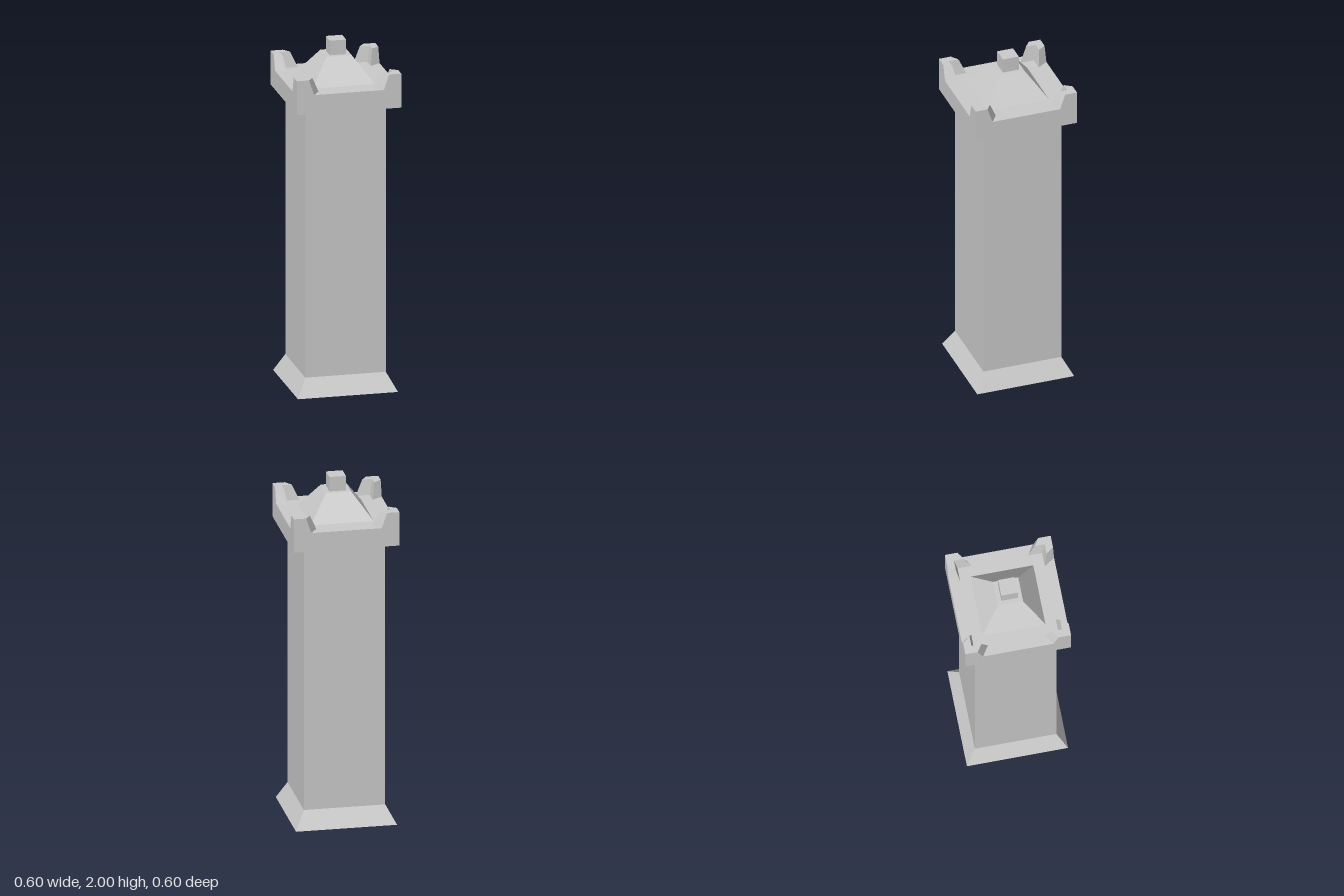
import * as THREE from 'three';

const material = new THREE.MeshStandardMaterial({ color: 0xcccccc, flatShading: true, side: THREE.DoubleSide });

function addMesh(parent, name, geometry, y = 0) {
  const mesh = new THREE.Mesh(geometry, material);
  mesh.name = name;
  mesh.position.y = y;
  parent.add(mesh);
  return mesh;
}

// Square frustum between two heights, given half widths
function squareFrustum(bottom, top, y0, y1, open) {
  const geometry = new THREE.CylinderGeometry(top * Math.SQRT2, bottom * Math.SQRT2, y1 - y0, 4, 1, open);
  return geometry.rotateY(Math.PI / 4).translate(0, (y0 + y1) / 2, 0);
}

// L-shaped corner battlement: bottom outline extruded up, then drawn in to the top outline
function cornerBattlement(y0, y1) {
  const bottom = [[0.3, 0.2], [0.3, 0.3], [0.2, 0.3], [0.16, 0.24], [0.24, 0.24], [0.24, 0.16]];
  const top = [[0.3, 0.23], [0.3, 0.3], [0.23, 0.3], [0.2, 0.257], [0.257, 0.257], [0.257, 0.2]];
  const shape = new THREE.Shape(bottom.map(([x, z]) => new THREE.Vector2(x, z)));
  const geometry = new THREE.ExtrudeGeometry(shape, { depth: y1 - y0, bevelEnabled: false });
  geometry.rotateX(Math.PI / 2).translate(0, y1, 0);
  const p = geometry.attributes.position;
  for (let i = 0; i < p.count; i++) {
    if (p.getY(i) < y1 - 0.01) continue;
    const k = bottom.findIndex(([x, z]) => Math.hypot(p.getX(i) - x, p.getZ(i) - z) < 0.005);
    p.setXYZ(i, top[k][0], y1, top[k][1]);
  }
  geometry.computeVertexNormals();
  return geometry;
}

export function createModel() {
  const model = new THREE.Group();
  model.name = 'tower';

  // Hollow shaft on a flared foot, open underneath
  const shaft = new THREE.Group();
  shaft.name = 'shaft';
  shaft.position.set(-0.002, 0, -0.002);
  addMesh(shaft, 'flaredFoot', squareFrustum(0.287, 0.231, 0, 0.105, true));
  addMesh(shaft, 'shaftWalls', squareFrustum(0.231, 0.231, 0.105, 1.66, true));
  model.add(shaft);

  // Overhanging platform with a battlement on each corner
  addMesh(model, 'platform', new THREE.BoxGeometry(0.6, 0.11, 0.6), 1.715);
  const battlement = cornerBattlement(1.77, 1.858);
  for (let i = 0; i < 4; i++) {
    addMesh(model, 'cornerBattlement', battlement).rotation.y = i * Math.PI / 2;
  }

  // Truncated pyramid roof and its square finial
  addMesh(model, 'roof', squareFrustum(0.178, 0.072, 1.77, 1.915, false));
  addMesh(model, 'finial', new THREE.BoxGeometry(0.094, 0.085, 0.094), 1.9575);

  return model;
}
